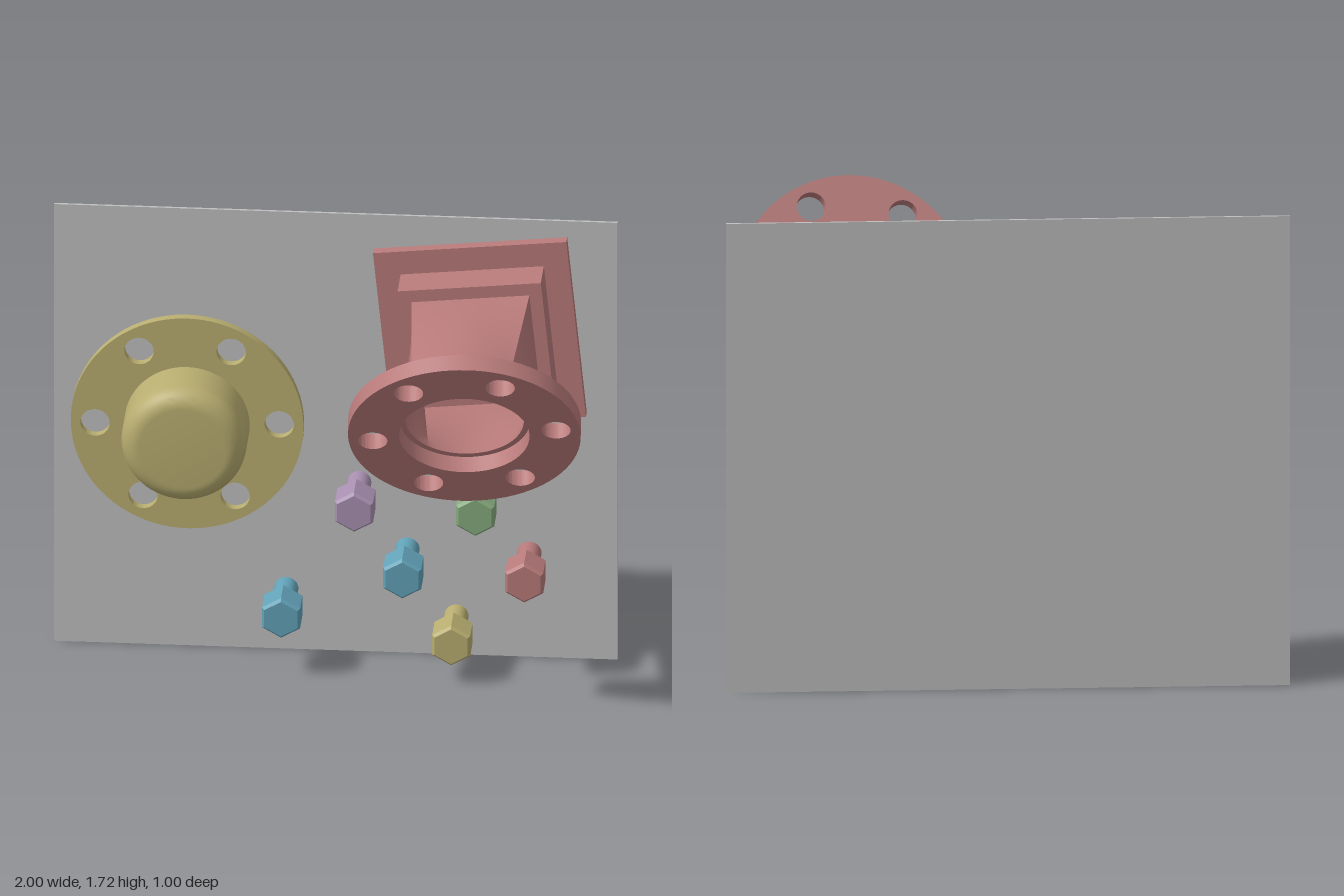
import * as THREE from 'three';
import { toCreasedNormals } from 'three/addons/utils/BufferGeometryUtils.js';

const mat = (name, color) => {
  const m = new THREE.MeshStandardMaterial({ color });
  m.name = name;
  return m;
};

function mesh(name, geometry, material, parent) {
  const m = new THREE.Mesh(geometry, material);
  m.name = name;
  parent.add(m);
  return m;
}

// Round plate with six bolt holes and a central bore, growing along +z from z = 0
function flangeGeometry(radius, bore, thickness) {
  const shape = new THREE.Shape().absarc(0, 0, radius, 0, Math.PI * 2);
  const hole = (x, y, r) => shape.holes.push(new THREE.Path().absarc(x, y, r, 0, Math.PI * 2, true));
  hole(0, 0, bore);
  for (let i = 0; i < 6; i++) {
    const a = i * Math.PI / 3;
    hole(0.327 * Math.cos(a), 0.327 * Math.sin(a), 0.052);
  }
  const g = new THREE.ExtrudeGeometry(shape, { depth: thickness, bevelEnabled: false, curveSegments: 40 });
  return toCreasedNormals(g, 0.5);
}

// Hollow duct from a square at zBack to a tilted circle centred at zFront
function ductGeometry(zBack, zFront, tilt) {
  const n = 64, steps = 8, rings = [];
  const ring = (half, radius, t) => {
    const pts = [];
    for (let j = 0; j <= n; j++) {
      const a = j / n * Math.PI * 2, c = Math.cos(a), s = Math.sin(a);
      const k = half / Math.max(Math.abs(c), Math.abs(s));
      const square = new THREE.Vector3(c * k, s * k, zBack);
      const circle = new THREE.Vector3(c * radius, s * radius * Math.cos(tilt), zFront + s * radius * Math.sin(tilt));
      pts.push(square.lerp(circle, t));
    }
    rings.push(pts);
  };
  for (let i = 0; i <= steps; i++) ring(0.206, 0.21, i / steps); // inner wall
  for (let i = steps; i >= 0; i--) ring(0.21, 0.24, i / steps); // outer wall
  const pos = [];
  for (let i = 0; i < rings.length - 1; i++) {
    for (let j = 0; j < n; j++) {
      const a = rings[i][j], b = rings[i][j + 1], c = rings[i + 1][j + 1], d = rings[i + 1][j];
      for (const p of [a, d, c, a, c, b]) pos.push(p.x, p.y, p.z);
    }
  }
  const g = new THREE.BufferGeometry();
  g.setAttribute('position', new THREE.Float32BufferAttribute(pos, 3));
  return toCreasedNormals(g, 0.4);
}

export function createModel() {
  const grey = mat('panel grey', 0xbfbfbf), red = mat('dusty red', 0xb87a7a);
  const yellow = mat('ochre yellow', 0xb8ad70), blue = mat('teal blue', 0x62a2b8);
  const purple = mat('mauve', 0xa88fb0), green = mat('sage green', 0x85a97c);
  const model = new THREE.Group();
  model.name = 'partsPanel';

  // Back panel
  mesh('backPanel', new THREE.BoxGeometry(2, 1.72, 0.01), grey, model).position.set(0, 0.86, -0.495);

  // Domed cap with flange
  const cap = new THREE.Group();
  cap.name = 'domedCap';
  cap.position.set(-0.52, 0.925, 0);
  cap.rotation.z = 0.025;
  model.add(cap);
  const profile = [new THREE.Vector2(0, -0.49), new THREE.Vector2(0.222, -0.49)];
  for (let i = 0; i <= 10; i++) {
    const a = i / 10 * Math.PI / 2;
    profile.push(new THREE.Vector2(0.152 + 0.07 * Math.cos(a), -0.245 + 0.07 * Math.sin(a)));
  }
  profile.push(new THREE.Vector2(0, -0.175));
  const dome = new THREE.LatheGeometry(profile, 64).rotateX(Math.PI / 2);
  mesh('dome', toCreasedNormals(dome, 0.5), yellow, cap);
  mesh('capFlange', flangeGeometry(0.413, 0.22, 0.032), yellow, cap).position.z = -0.417;

  // Square-to-round duct with an angled flange
  const tilt = Math.PI / 6;
  const duct = new THREE.Group();
  duct.name = 'angledDuct';
  duct.position.set(0.5125, 1.279, 0);
  duct.rotation.z = 0.101;
  model.add(duct);
  mesh('basePlate', new THREE.BoxGeometry(0.69, 0.69, 0.039), red, duct).position.z = -0.4705;
  mesh('baseBlock', new THREE.BoxGeometry(0.511, 0.511, 0.137), red, duct).position.z = -0.3825;
  mesh('ductBody', ductGeometry(-0.314, 0.238, tilt), red, duct);
  const flange = mesh('ductFlange', flangeGeometry(0.412, 0.231, 0.065), red, duct);
  flange.position.z = 0.238;
  flange.rotation.x = tilt;

  // Hex bolts with chamfered heads
  const v = (r, z) => new THREE.Vector2(r, z);
  const headProfile = [v(0, -0.365), v(0.068, -0.365), v(0.078, -0.353), v(0.078, -0.247), v(0.068, -0.235), v(0, -0.235)];
  const headGeo = toCreasedNormals(new THREE.LatheGeometry(headProfile, 6).rotateX(Math.PI / 2), 0.1);
  const shankGeo = new THREE.CylinderGeometry(0.043, 0.043, 0.127, 32).rotateX(Math.PI / 2);
  const bolts = [
    [0.083, 0.666, purple], [0.513, 0.666, green], [0.254, 0.41, blue],
    [0.687, 0.41, red], [-0.176, 0.239, blue], [0.428, 0.153, yellow],
  ];
  for (const [x, y, material] of bolts) {
    const bolt = new THREE.Group();
    bolt.name = 'hexBolt';
    bolt.position.set(x, y, 0);
    mesh('boltHead', headGeo, material, bolt);
    mesh('boltShank', shankGeo, material, bolt).position.z = -0.4275;
    model.add(bolt);
  }
  return model;
}
